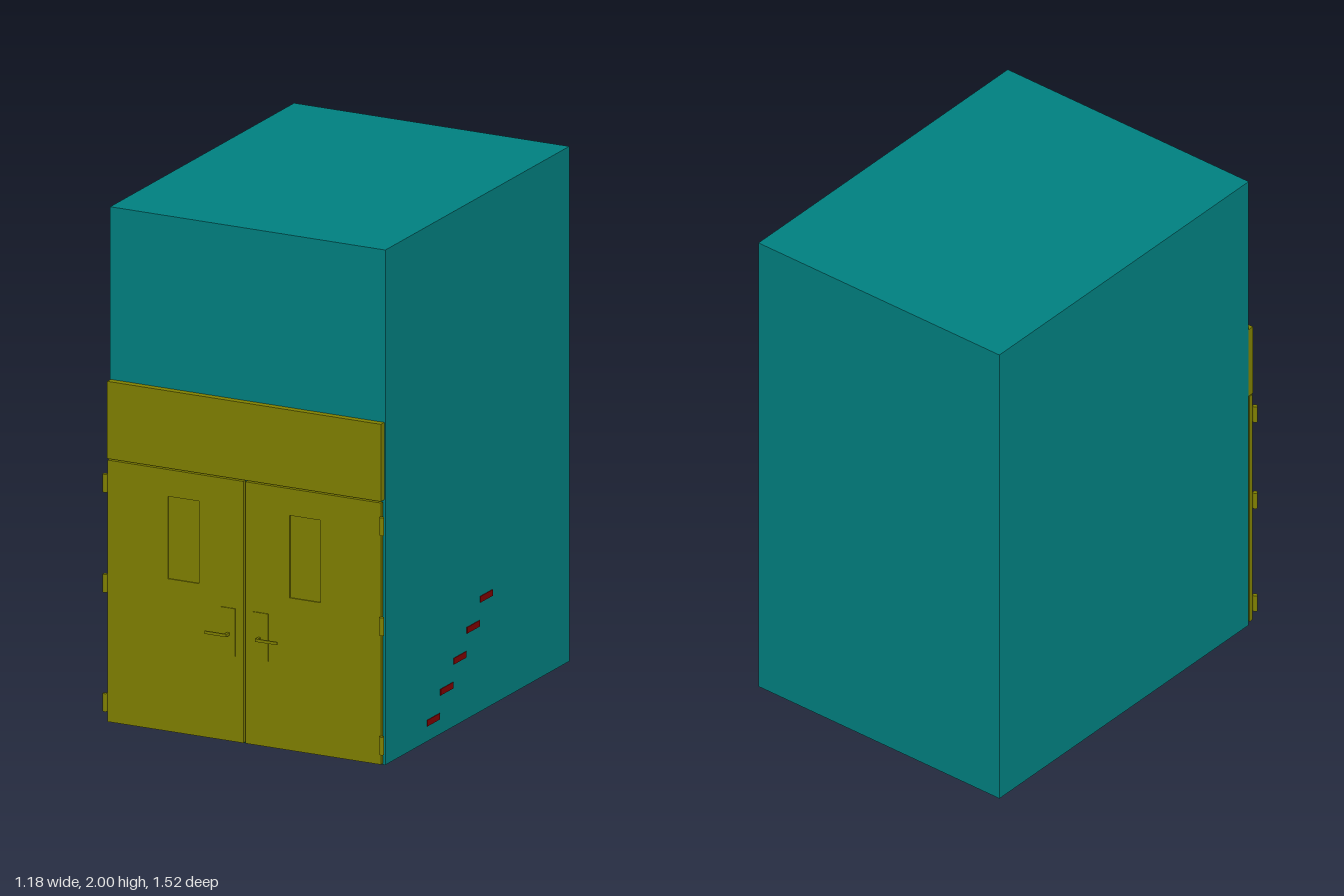
import * as THREE from 'three';

export function createModel() {
  const root = new THREE.Group();
  const teal = new THREE.MeshStandardMaterial({ color: 0x008080 });
  const olive = new THREE.MeshStandardMaterial({ color: 0x808000 });
  const red = new THREE.MeshStandardMaterial({ color: 0x800000 });

  const add = (name, geometry, material, parent = root) => {
    const mesh = new THREE.Mesh(geometry, material);
    mesh.name = name;
    parent.add(mesh);
    return mesh;
  };
  // Box given by its low and high limits on each axis
  const block = (name, [x0, x1], [y0, y1], [z0, z1], material, parent) => {
    const mesh = add(name, new THREE.BoxGeometry(x1 - x0, y1 - y0, z1 - z0), material, parent);
    mesh.position.set((x0 + x1) / 2, (y0 + y1) / 2, (z0 + z1) / 2);
    return mesh;
  };
  const span = (side, a, b) => (side > 0 ? [a, b] : [-b, -a]);

  // Main body and the panel above the doors
  block('body', [-0.577, 0.577], [0, 2], [-0.76, 0.7], teal);
  block('headerPanel', [-0.575, 0.573], [1.03, 1.33], [0.7, 0.728], olive);

  for (const side of [-1, 1]) {
    const door = new THREE.Group();
    door.name = side > 0 ? 'leftDoor' : 'rightDoor';
    root.add(door);

    // Door leaf with a window opening
    const rect = (Type, [x0, x1], [y0, y1]) => new Type([
      new THREE.Vector2(x0, y0), new THREE.Vector2(x1, y0),
      new THREE.Vector2(x1, y1), new THREE.Vector2(x0, y1),
    ]);
    const leaf = rect(THREE.Shape, span(side, 0.004, 0.573), [0.008, 1.024]);
    leaf.holes.push(rect(THREE.Path, span(side, 0.19, 0.32), [0.6, 0.92]));
    const leafGeometry = new THREE.ExtrudeGeometry(leaf, { depth: 0.016, bevelEnabled: false });
    add('doorLeaf', leafGeometry, olive, door).position.z = 0.711;
    block('windowPane', span(side, 0.19, 0.32), [0.6, 0.92], [0.713, 0.722], olive, door);

    // Handle: plate, stem and lever
    block('handlePlate', span(side, 0.037, 0.102), [0.34, 0.525], [0.727, 0.731], olive, door);
    block('handleStem', span(side, 0.06, 0.07), [0.419, 0.43], [0.73, 0.757], olive, door);
    block('handleLever', span(side, 0.06, 0.152), [0.419, 0.43], [0.751, 0.757], olive, door);

    // Hinge barrels
    for (const y of [0.085, 0.548, 0.937]) {
      const hinge = add('hinge', new THREE.CylinderGeometry(0.009, 0.009, 0.07, 20), olive, door);
      hinge.position.set(side * 0.58, y, 0.734);
    }
  }

  // Rising row of slots on the side, and short bars behind the door gap
  for (let i = 0; i < 5; i++) {
    const z = 0.32 - i * 0.105;
    const y = 0.071 + i * 0.0912;
    block('sideStep', [0.57, 0.58], [y - 0.012, y + 0.012], [z - 0.05, z + 0.05], red);
    const barY = 0.545 + i * 0.095;
    block('frontBar', [-0.05, 0.05], [barY - 0.012, barY + 0.012], [0.695, 0.703], red);
  }
  return root;
}
